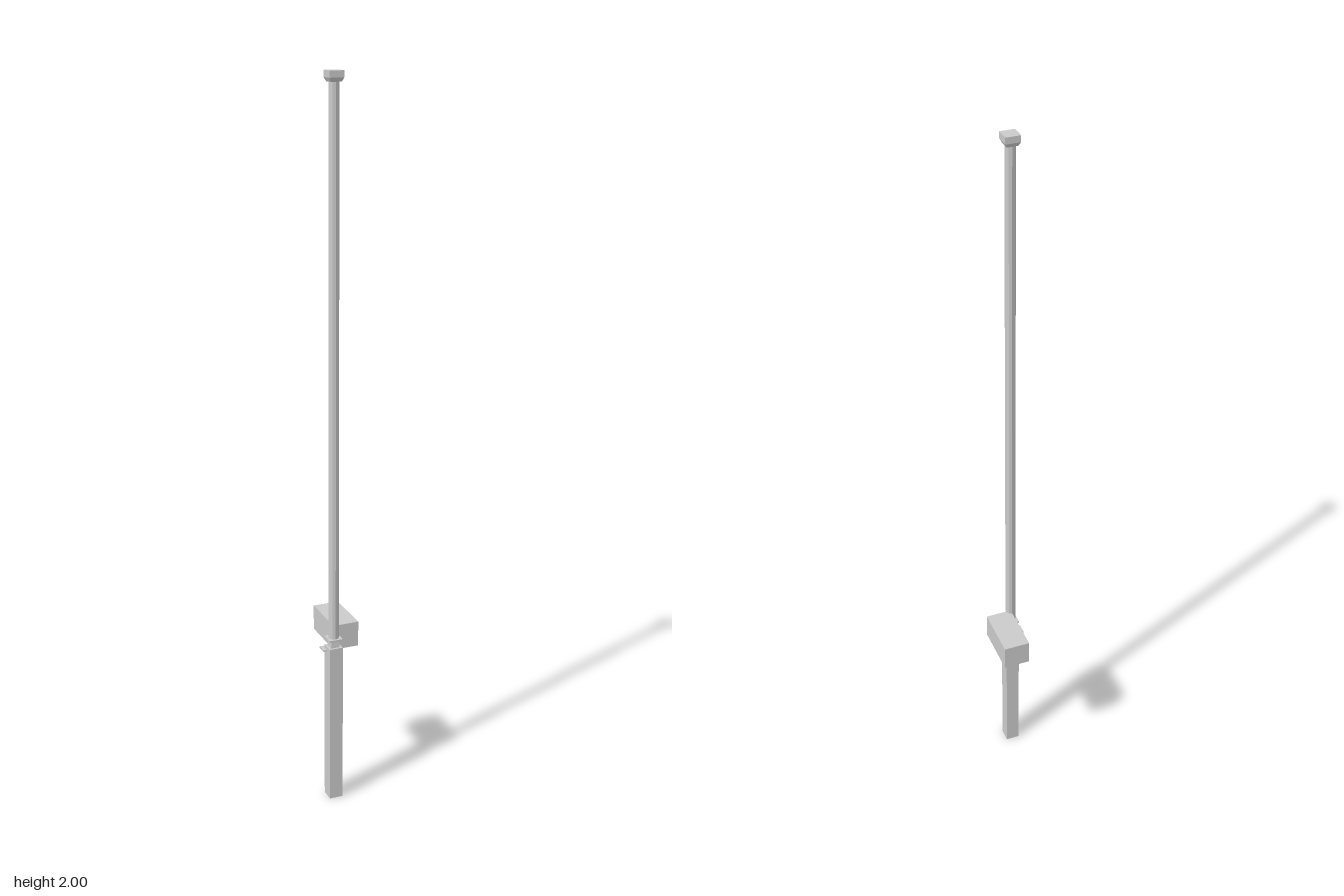
import * as THREE from 'three';

const CX = -0.023, CZ = 0.063; // column axis

export function createModel() {
  const model = new THREE.Group();
  const mat = new THREE.MeshStandardMaterial({ color: 0xcccccc, flatShading: true, side: THREE.DoubleSide });

  const add = (name, geometry, x, y, z) => {
    const mesh = new THREE.Mesh(geometry, mat);
    mesh.name = name;
    mesh.position.set(x, y, z);
    model.add(mesh);
  };
  // box given by its limits on each axis
  const box = (name, x0, x1, y0, y1, z0, z1) =>
    add(name, new THREE.BoxGeometry(x1 - x0, y1 - y0, z1 - z0), (x0 + x1) / 2, (y0 + y1) / 2, (z0 + z1) / 2);
  // square block on the column axis, with separate bottom and top widths
  const squareBlock = (name, bottom, top, y0, y1) => {
    const g = new THREE.CylinderGeometry(top * Math.SQRT1_2, bottom * Math.SQRT1_2, y1 - y0, 4);
    add(name, g.rotateY(Math.PI / 4), CX, (y0 + y1) / 2, CZ);
  };

  // square pedestal
  squareBlock('pedestal', 0.039, 0.039, 0, 0.465);

  // narrow neck and thin collar under the shaft
  squareBlock('neck', 0.026, 0.022, 0.465, 0.486);
  squareBlock('collar', 0.039, 0.039, 0.486, 0.491);

  // slender faceted shaft
  add('shaft', new THREE.CylinderGeometry(0.0135, 0.0145, 1.486, 10), CX, 1.234, CZ);

  // capital: flared underside below a square abacus
  squareBlock('capitalFlare', 0.029, 0.039, 1.973, 1.983);
  squareBlock('abacus', 0.039, 0.039, 1.983, 2);

  // block beside the column and the thin ledge next to it
  box('sideBlock', -0.023, 0.051, 0.453, 0.525, -0.086, 0.062);
  box('ledge', -0.053, -0.022, 0.452, 0.456, 0.033, 0.062);

  return model;
}
